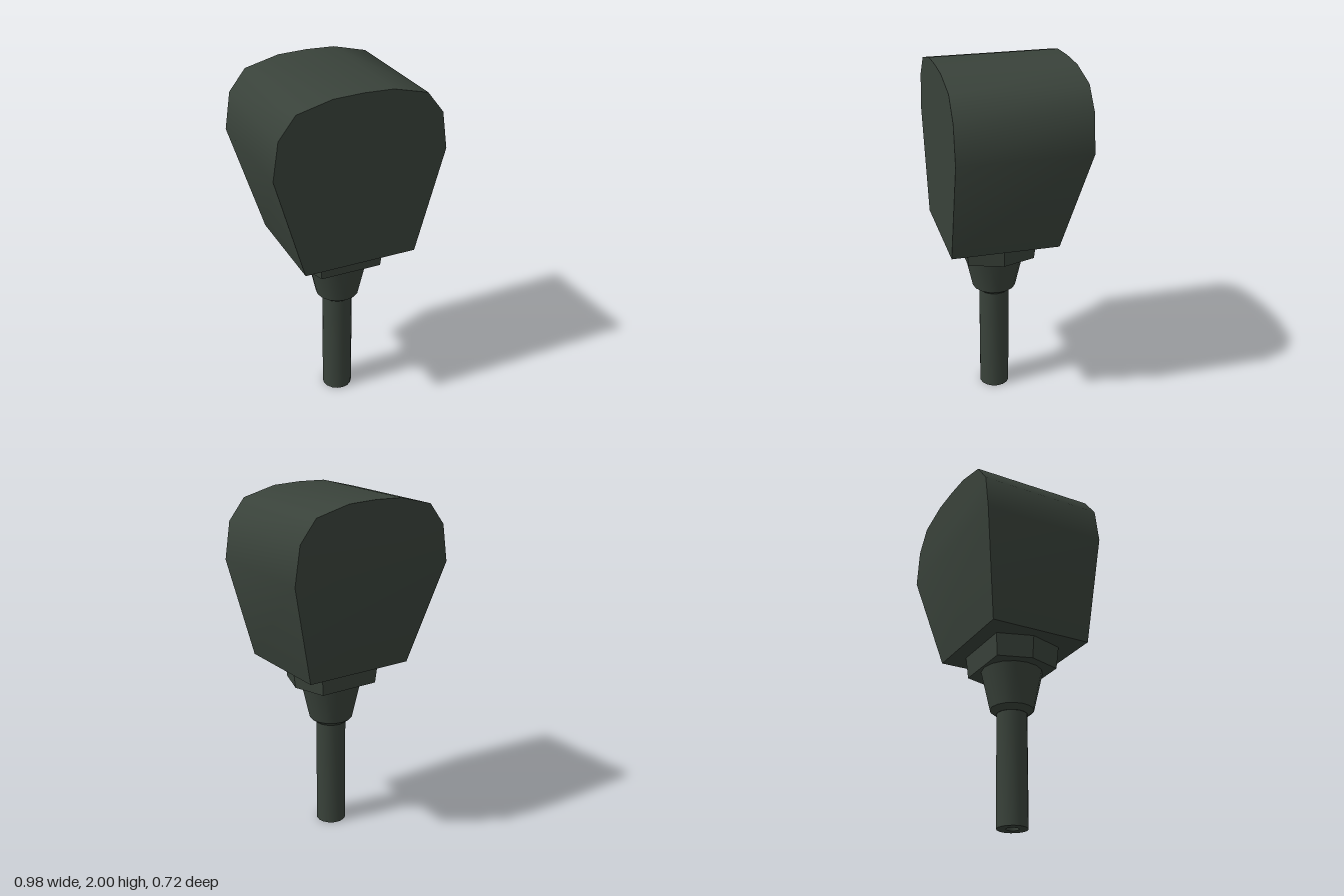
import * as THREE from 'three';
import { toCreasedNormals } from 'three/addons/utils/BufferGeometryUtils.js';

const AXIS_Z = 0.05; // the shaft sits slightly forward of centre

// Skins a stack of closed rings (each a list of [x, y, z], anticlockwise from above)
// and closes both ends with fans.
function loft(rings, crease) {
  const pos = [];
  const tri = (a, b, c) => pos.push(...a, ...b, ...c);
  const n = rings[0].length;
  for (let r = 0; r < rings.length - 1; r++) {
    const lo = rings[r], hi = rings[r + 1];
    for (let i = 0; i < n; i++) {
      const j = (i + 1) % n;
      tri(lo[i], lo[j], hi[j]);
      tri(lo[i], hi[j], hi[i]);
    }
  }
  const first = rings[0], last = rings[rings.length - 1];
  for (let i = 1; i < n - 1; i++) {
    tri(first[0], first[i + 1], first[i]);
    tri(last[0], last[i], last[i + 1]);
  }
  const geo = new THREE.BufferGeometry();
  geo.setAttribute('position', new THREE.Float32BufferAttribute(pos, 3));
  return toCreasedNormals(geo, crease);
}

function turned(points, segments) {
  const profile = points.map(([r, y]) => new THREE.Vector2(r, y));
  return toCreasedNormals(new THREE.LatheGeometry(profile, segments), 0.6);
}

export function createModel() {
  const model = new THREE.Group();
  const darkGreen = new THREE.MeshStandardMaterial({ color: 0x39423a });
  darkGreen.name = 'darkGreen';

  function add(name, geometry, z = 0) {
    const mesh = new THREE.Mesh(geometry, darkGreen);
    mesh.name = name;
    mesh.position.z = z;
    model.add(mesh);
  }

  // Head: flared block with a rounded top; rows are [half width, height, back z]
  const rows = [
    [0.325, 1.03, -0.24],
    [0.488, 1.615, -0.36],
    [0.455, 1.825, -0.36],
    [0.36, 1.945, -0.36],
    [0.165, 1.994, -0.36],
    [0, 2.0, -0.36],
  ];
  const front = 0.36;
  add('head', loft(rows.map(([w, y, back]) => [
    [-w, y, front], [w, y, front], [w, y, back], [-w, y, back],
  ]), 0.75));

  // Collar: wide hexagonal block under the head, slightly tapered
  const hexRing = (s, y) => [
    [-0.19, 0.2], [0.19, 0.2], [0.255, 0], [0.19, -0.2], [-0.19, -0.2], [-0.255, 0],
  ].map(([x, z]) => [x * s, y, z * s]);
  add('collar', loft([hexRing(0.945, 0.9), hexRing(1, 1.03)], 0.3), AXIS_Z);

  // Socket: tapered sleeve with a chamfered lower rim
  add('socket', turned([
    [0.08, 0.645], [0.09, 0.645], [0.125, 0.672], [0.176, 0.9], [0, 0.9],
  ], 16), AXIS_Z);

  // Shaft: round tube with a narrow bore open at the bottom
  add('shaft', turned([
    [0, 0.3], [0.036, 0.3], [0.036, 0], [0.087, 0], [0.087, 0.7],
  ], 16), AXIS_Z);

  return model;
}
